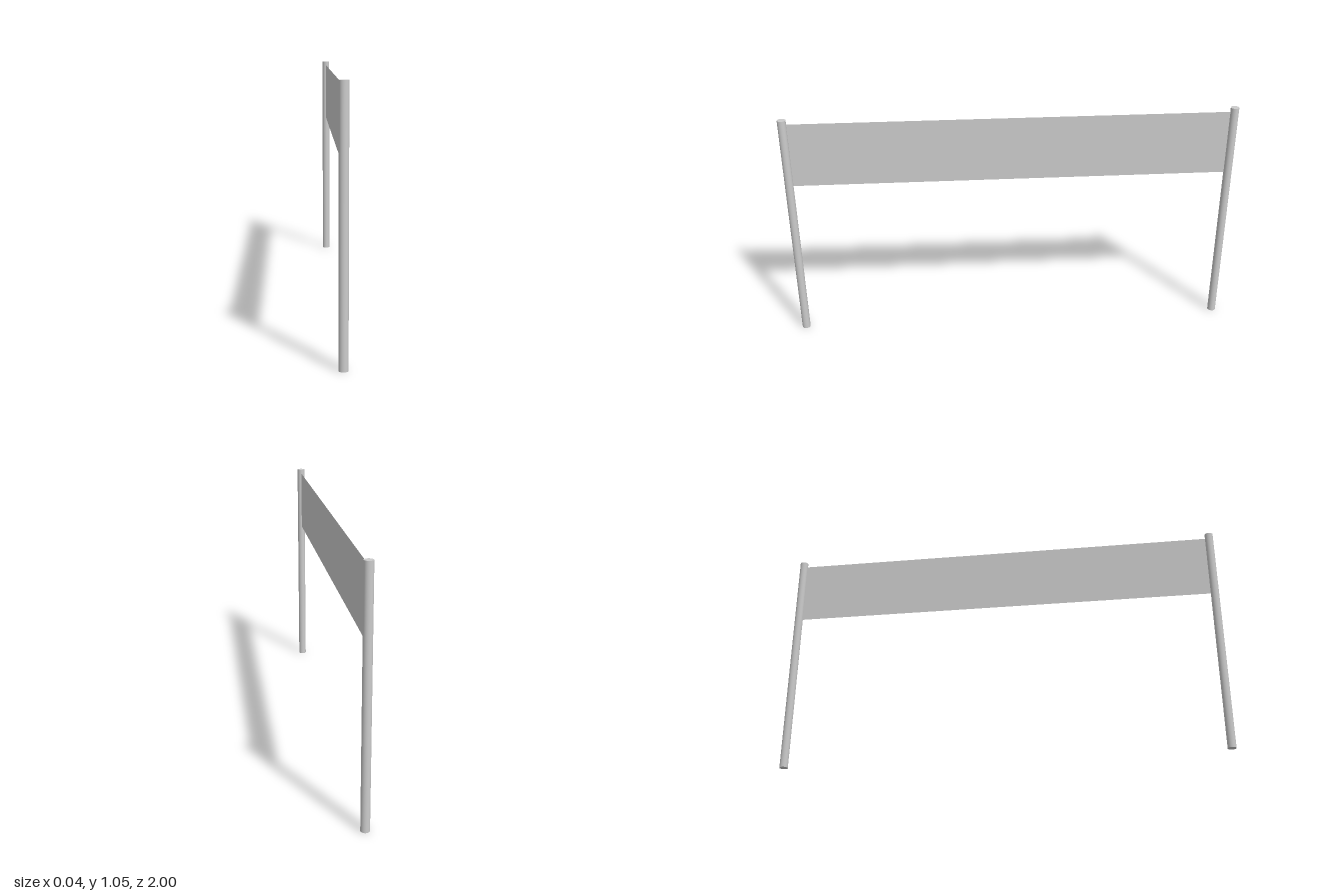
import * as THREE from 'three';

export function createModel() {
  const model = new THREE.Group();
  model.name = 'netWithPosts';

  const postRadius = 0.0185;
  const postHeight = 1.05;
  const postZ = 1 - postRadius;
  const netTop = 1.03;
  const netBottom = 0.74;

  const postMaterial = new THREE.MeshStandardMaterial({ color: 0xcccccc });
  const netMaterial = new THREE.MeshStandardMaterial({ color: 0xcccccc, side: THREE.DoubleSide });

  // Upright round posts, one at each end
  const postGeometry = new THREE.CylinderGeometry(postRadius, postRadius, postHeight, 32);
  for (const side of [1, -1]) {
    const post = new THREE.Mesh(postGeometry, postMaterial);
    post.name = side > 0 ? 'frontPost' : 'backPost';
    post.position.set(0, postHeight / 2, side * postZ);
    model.add(post);
  }

  // Thin net panel stretched between the posts
  const netLength = 2 * (postZ - postRadius);
  const net = new THREE.Mesh(new THREE.PlaneGeometry(netLength, netTop - netBottom), netMaterial);
  net.name = 'net';
  net.rotation.y = Math.PI / 2;
  net.position.y = (netTop + netBottom) / 2;
  model.add(net);

  return model;
}
